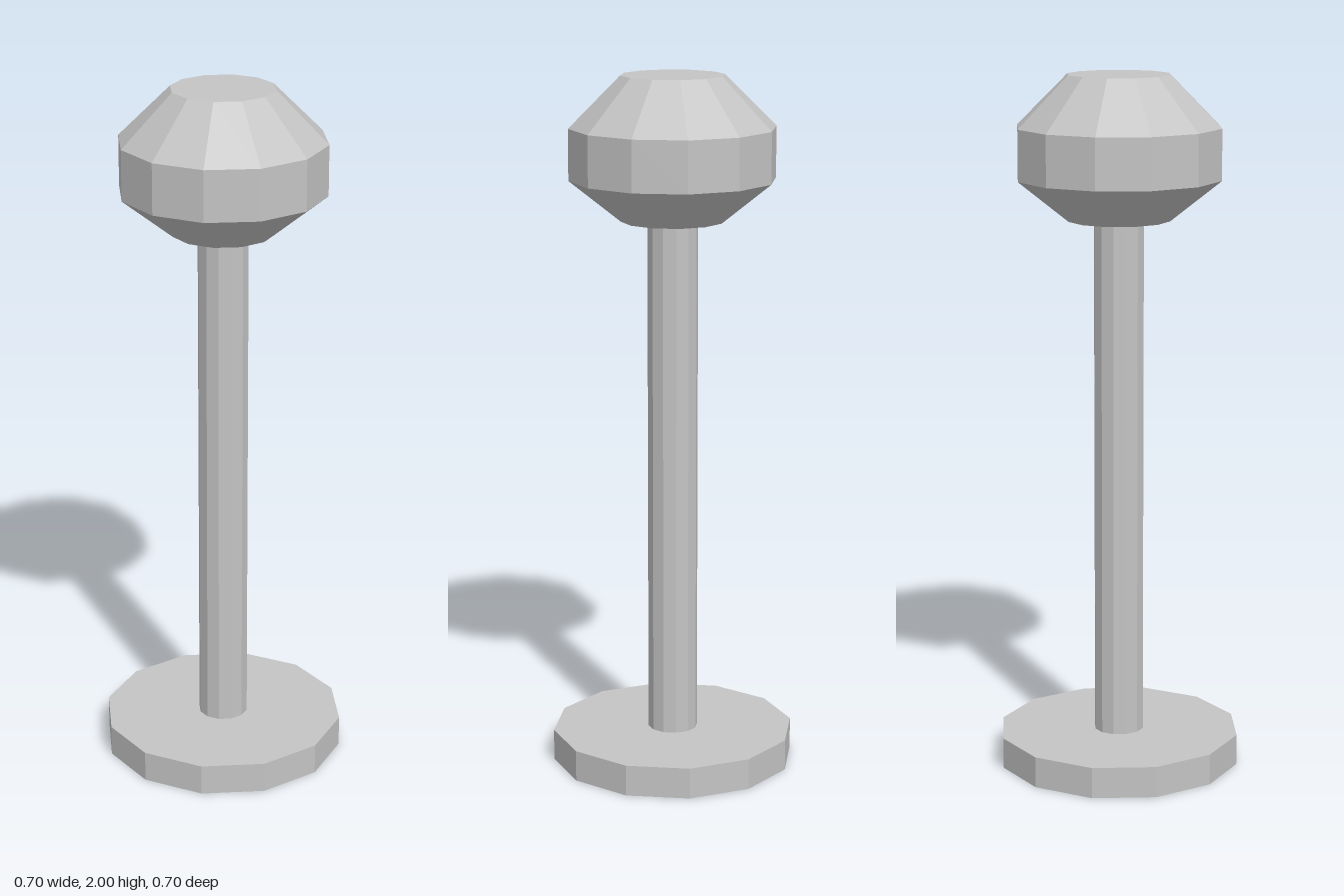
import * as THREE from 'three';

const SIDES = 12;

export function createModel() {
  const model = new THREE.Group();
  const grey = new THREE.MeshStandardMaterial({ color: 0xc4c4c4 });
  grey.name = 'grey';

  // Twelve-sided solid turned from [radius, height] pairs, bottom to top, closed at both ends
  function turned(name, profile) {
    const points = [[0, profile[0][1]], ...profile, [0, profile.at(-1)[1]]]
      .map(([r, y]) => new THREE.Vector2(r, y));
    const geometry = new THREE.LatheGeometry(points, SIDES).toNonIndexed();
    geometry.computeVertexNormals(); // one flat normal per facet
    const mesh = new THREE.Mesh(geometry, grey);
    mesh.name = name;
    model.add(mesh);
  }

  // Flat foot plate
  turned('base', [[0.352, 0], [0.352, 0.09]]);
  // Slim post, from the plate up to the knob
  turned('post', [[0.072, 0.09], [0.072, 1.593]]);
  // Faceted knob with bevelled top and bottom
  turned('knob', [[0.147, 1.593], [0.293, 1.71], [0.293, 1.855], [0.147, 2]]);

  return model;
}
